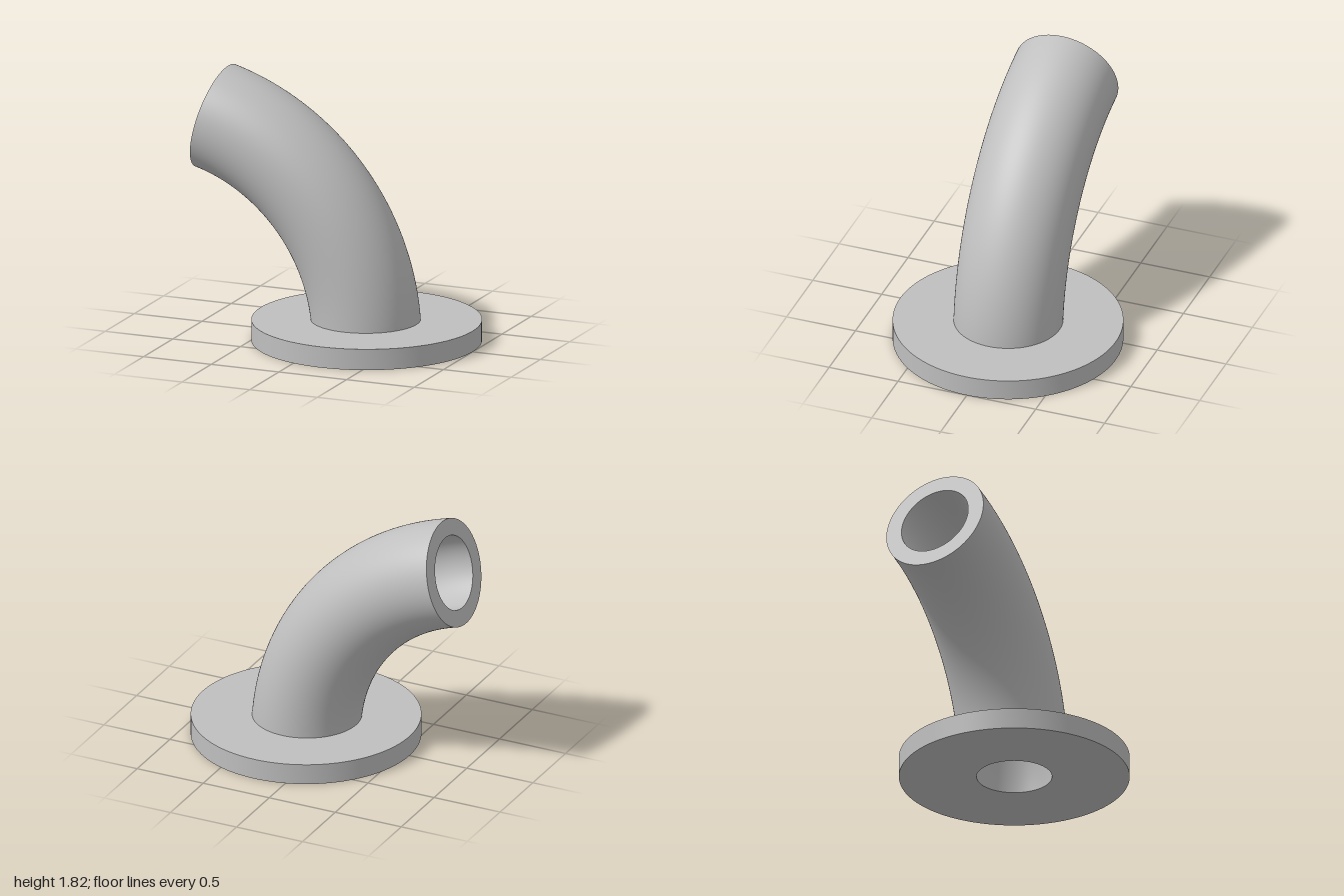
import * as THREE from 'three';
import { toCreasedNormals } from 'three/addons/utils/BufferGeometryUtils.js';

const BEND = 1.51;                       // bend radius of the centreline
const SWEEP = THREE.MathUtils.degToRad(75);
const OUTER = 0.372, BORE = 0.256;       // pipe radii
const BASE_X = 0.217;                    // flange centre
const FLANGE_R = 0.783, FLANGE_H = 0.146;

export function createModel() {
  const model = new THREE.Group();
  model.name = 'flangedPipeBend';
  const grey = new THREE.MeshStandardMaterial({ color: 0xbfbfbf });
  grey.name = 'grey';

  const add = (name, geometry, parent) => {
    const mesh = new THREE.Mesh(geometry, grey);
    mesh.name = name;
    parent.add(mesh);
  };

  // Round base flange, open in the middle; its top ends inside the pipe wall
  const profile = [[BORE, 0], [FLANGE_R, 0], [FLANGE_R, FLANGE_H], [0.31, FLANGE_H]]
    .map(([x, y]) => new THREE.Vector2(x, y));
  const flange = toCreasedNormals(new THREE.LatheGeometry(profile, 128), 0.5);
  flange.translate(BASE_X, 0, 0);
  add('flange', flange, model);

  // Bent pipe, swept about the bend centre
  const pipe = new THREE.Group();
  pipe.name = 'pipe';
  pipe.position.x = BASE_X - BEND;
  model.add(pipe);
  add('pipeOuterWall', new THREE.TorusGeometry(BEND, OUTER, 96, 96, SWEEP), pipe);

  // Bore, turned inside out so that it faces the centreline
  const bore = new THREE.TorusGeometry(BEND, BORE, 96, 96, SWEEP);
  bore.index.array.reverse();
  const normals = bore.attributes.normal.array;
  for (let i = 0; i < normals.length; i++) normals[i] *= -1;
  add('pipeBore', bore, pipe);

  // Annular face at the open end
  const rim = new THREE.RingGeometry(BORE, OUTER, 96);
  rim.rotateX(-Math.PI / 2).translate(BEND, 0, 0).rotateZ(SWEEP);
  add('pipeEndFace', rim, pipe);

  return model;
}
